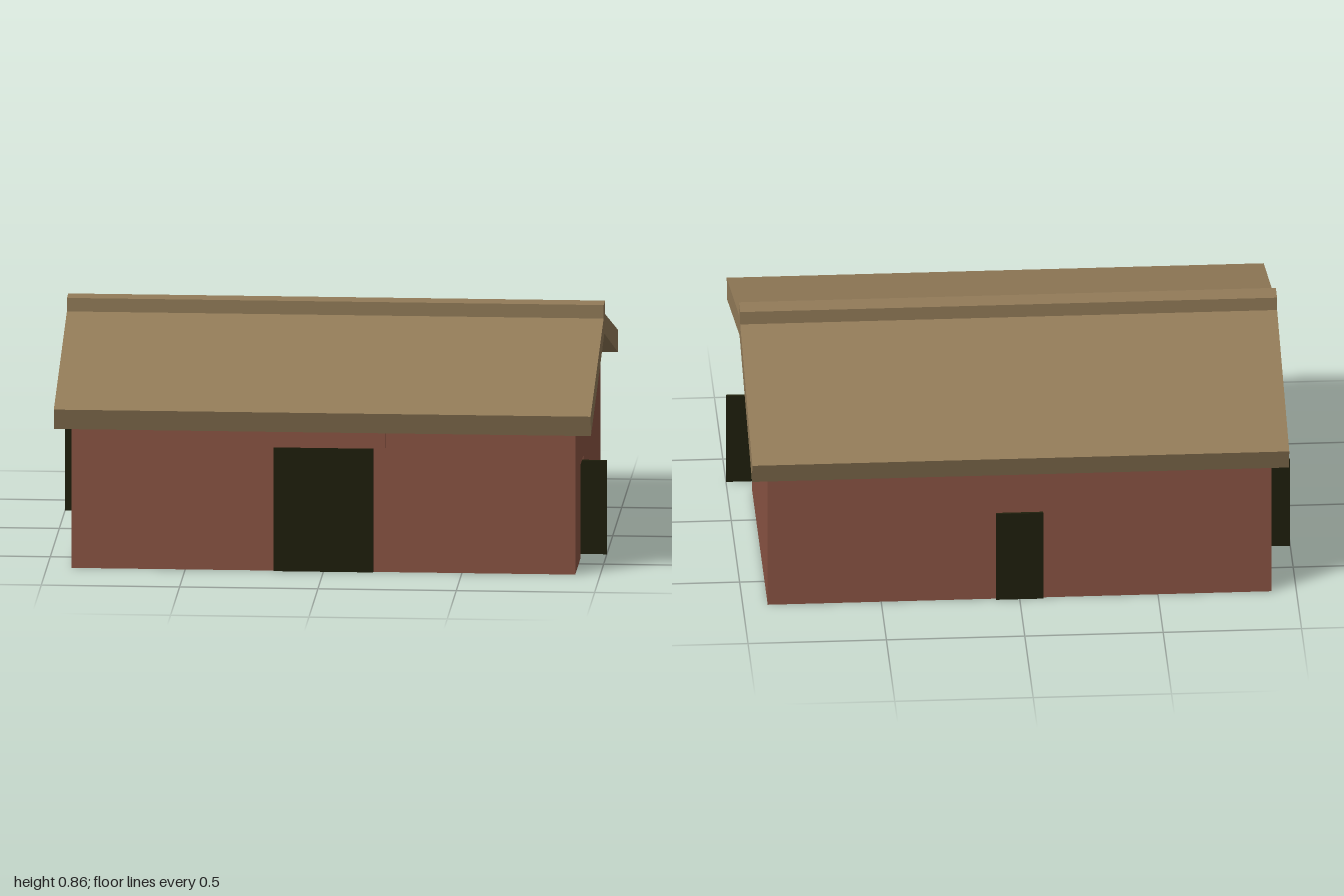
import * as THREE from 'three';

const T = 0.14;          // wall thickness
const HX = 0.91;         // half length of the house
const HZ = 0.69;         // half depth of the house
const WALL_H = 0.6;

export function createModel() {
  const brick = new THREE.MeshStandardMaterial({ color: 0x8a5443 });
  brick.name = 'brick';
  const roofing = new THREE.MeshStandardMaterial({ color: 0x93795a });
  roofing.color.set(0x927b58);
  roofing.name = 'roofing';
  const darkWood = new THREE.MeshStandardMaterial({ color: 0x1f1f0c });
  darkWood.name = 'darkWood';

  const model = new THREE.Group();
  model.name = 'house';

  const add = (name, geometry, material, parent = model) => {
    const mesh = new THREE.Mesh(geometry, material);
    mesh.name = name;
    parent.add(mesh);
    return mesh;
  };
  const box = (name, w, h, d, x, y, z, material, parent) =>
    add(name, new THREE.BoxGeometry(w, h, d), material, parent).position.set(x, y, z);

  // Wall with a doorway cut up from the ground; rise > 0 gives an arched head
  function wall(name, width, doorX, doorHalf, spring, rise, parent) {
    const s = new THREE.Shape();
    s.moveTo(-width / 2, 0);
    s.lineTo(doorX - doorHalf, 0);
    s.lineTo(doorX - doorHalf, spring);
    if (rise > 0) s.absellipse(doorX, spring, doorHalf, rise, Math.PI, 0, true);
    else s.lineTo(doorX + doorHalf, spring);
    s.lineTo(doorX + doorHalf, 0);
    s.lineTo(width / 2, 0);
    s.lineTo(width / 2, WALL_H);
    s.lineTo(-width / 2, WALL_H);
    s.closePath();
    const g = new THREE.ExtrudeGeometry(s, { depth: T, bevelEnabled: false, curveSegments: 8 });
    g.translate(0, 0, -T);
    return add(name, g, brick, parent);
  }

  // Front: arched doorway, closed door and lintel
  const front = new THREE.Group();
  front.name = 'frontSide';
  front.position.z = HZ;
  model.add(front);
  wall('frontWall', HX * 2, 0, 0.18, 0.42, 0.12, front);
  box('frontDoor', 0.36, 0.54, 0.01, 0, 0.27, 0.005, darkWood, front);
  box('frontLintel', 0.45, 0.058, 0.02, 0, 0.486, 0.005, brick, front);

  // Back: small closed door
  const back = new THREE.Group();
  back.name = 'backSide';
  back.position.z = -HZ;
  back.rotation.y = Math.PI;
  model.add(back);
  wall('backWall', HX * 2, 0, 0.08, 0.345, 0, back);
  box('backDoor', 0.17, 0.345, 0.01, 0, 0.1725, 0.005, darkWood, back);

  // Gable ends: doorway off centre, with the door standing square to the wall
  for (const side of [1, -1]) {
    const end = new THREE.Group();
    end.name = side > 0 ? 'leftSide' : 'rightSide';
    end.position.x = side * HX;
    end.rotation.y = side * Math.PI / 2;
    model.add(end);
    wall('sideWall', (HZ - T) * 2, -0.32, 0.08, 0.345, 0, end);
    box('sideDoor', 0.012, 0.345, 0.17, -0.32, 0.1725, 0.005, darkWood, end);
  }

  // Roof: two sloping slabs in one profile, open below at the gables
  const profile = new THREE.Shape([
    [0, 0.82], [-0.765, 0.598], [-0.742, 0.522], [0, 0.745], [0.742, 0.522], [0.765, 0.598],
  ].map(([a, b]) => new THREE.Vector2(a, b)));
  const roofGeo = new THREE.ExtrudeGeometry(profile, { depth: 1.94, bevelEnabled: false });
  roofGeo.translate(0, 0, -0.97);
  roofGeo.rotateY(Math.PI / 2);
  add('roof', roofGeo, roofing);
  box('ridgeCap', 1.94, 0.06, 0.08, 0, 0.828, 0, roofing);

  return model;
}
